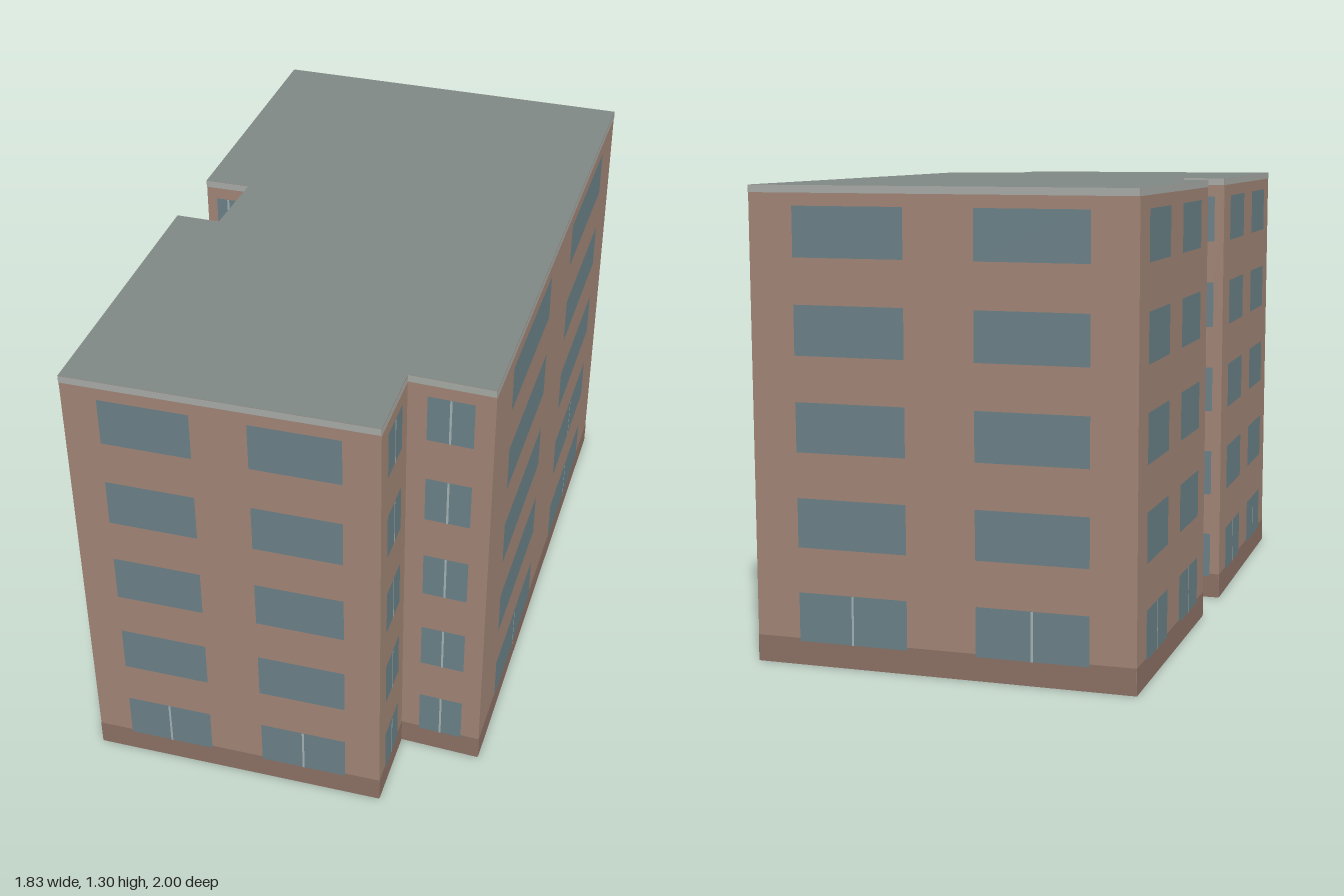
import * as THREE from 'three';

// Footprint corners (x, z), ordered so each wall runs left to right seen from outside
const corners = [
  [-0.02, -1.0], [-0.41, -0.307], [-0.295, -0.247], [-0.41, -0.06], [-0.52, -0.12],
  [-0.913, 0.61], [-0.175, 0.997], [-0.062, 0.79], [0.137, 0.906], [0.913, -0.48],
];
const HEIGHT = 1.3, PLINTH = 0.074, TRIM = 1.28;
const FLOORS = 5, FLOOR_STEP = 0.261, SILL = 0.066, WINDOW_H = 0.136;

const paint = (color) => new THREE.MeshStandardMaterial({ color, side: THREE.DoubleSide });
const brick = paint(0xa08475);
const plinthPaint = paint(0x8b7063);
const trimPaint = paint(0xa6aaa5);
const roofPaint = paint(0x7f8785);
const glass = paint(0x6a8087);
const framePaint = paint(0xa3b0b2);

export function createModel() {
  const model = new THREE.Group();
  model.name = 'apartmentBlock';

  // Upright panel on a wall: u and y are its centre, out lifts it off the surface
  function panel(wall, name, material, width, height, u, y, out) {
    const mesh = new THREE.Mesh(new THREE.PlaneGeometry(width, height), material);
    mesh.name = name;
    mesh.position.set(u, y, out);
    wall.add(mesh);
  }

  corners.forEach(([x, z], i) => {
    const [x2, z2] = corners[(i + 1) % corners.length];
    const length = Math.hypot(x2 - x, z2 - z);
    const wall = new THREE.Group();
    wall.name = 'wall' + (i + 1);
    wall.position.set(x, 0, z);
    wall.rotation.y = Math.atan2(z - z2, x2 - x);
    model.add(wall);

    // Full-height brickwork with a plinth and a roof trim laid on it
    panel(wall, 'brickwork', brick, length, HEIGHT, length / 2, HEIGHT / 2, 0);
    panel(wall, 'plinth', plinthPaint, length, PLINTH, length / 2, PLINTH / 2, 0.001);
    panel(wall, 'roofTrim', trimPaint, length, HEIGHT - TRIM, length / 2, (HEIGHT + TRIM) / 2, 0.001);

    // Long walls have two window bays, the short return walls one
    const short = length < 0.4;
    const bays = short ? [0.5] : [0.263, 0.736];
    const width = length * (short ? 0.54 : 0.292);
    for (let floor = 0; floor < FLOORS; floor++) {
      const y = SILL + WINDOW_H / 2 + floor * FLOOR_STEP;
      bays.forEach((bay, b) => {
        panel(wall, 'window', glass, width, WINDOW_H, bay * length, y, 0.002);
        const divided = short || floor === 0 || (i === 8 && floor === 1 && b === 1);
        if (divided) panel(wall, 'mullion', framePaint, 0.006, WINDOW_H, bay * length, y, 0.003);
      });
    }
  });

  // Flat roof; the building is open underneath
  const outline = new THREE.Shape(corners.map(([x, z]) => new THREE.Vector2(x, -z)));
  const roof = new THREE.Mesh(new THREE.ShapeGeometry(outline), roofPaint);
  roof.name = 'roof';
  roof.rotation.x = -Math.PI / 2;
  roof.position.y = HEIGHT;
  model.add(roof);

  return model;
}
